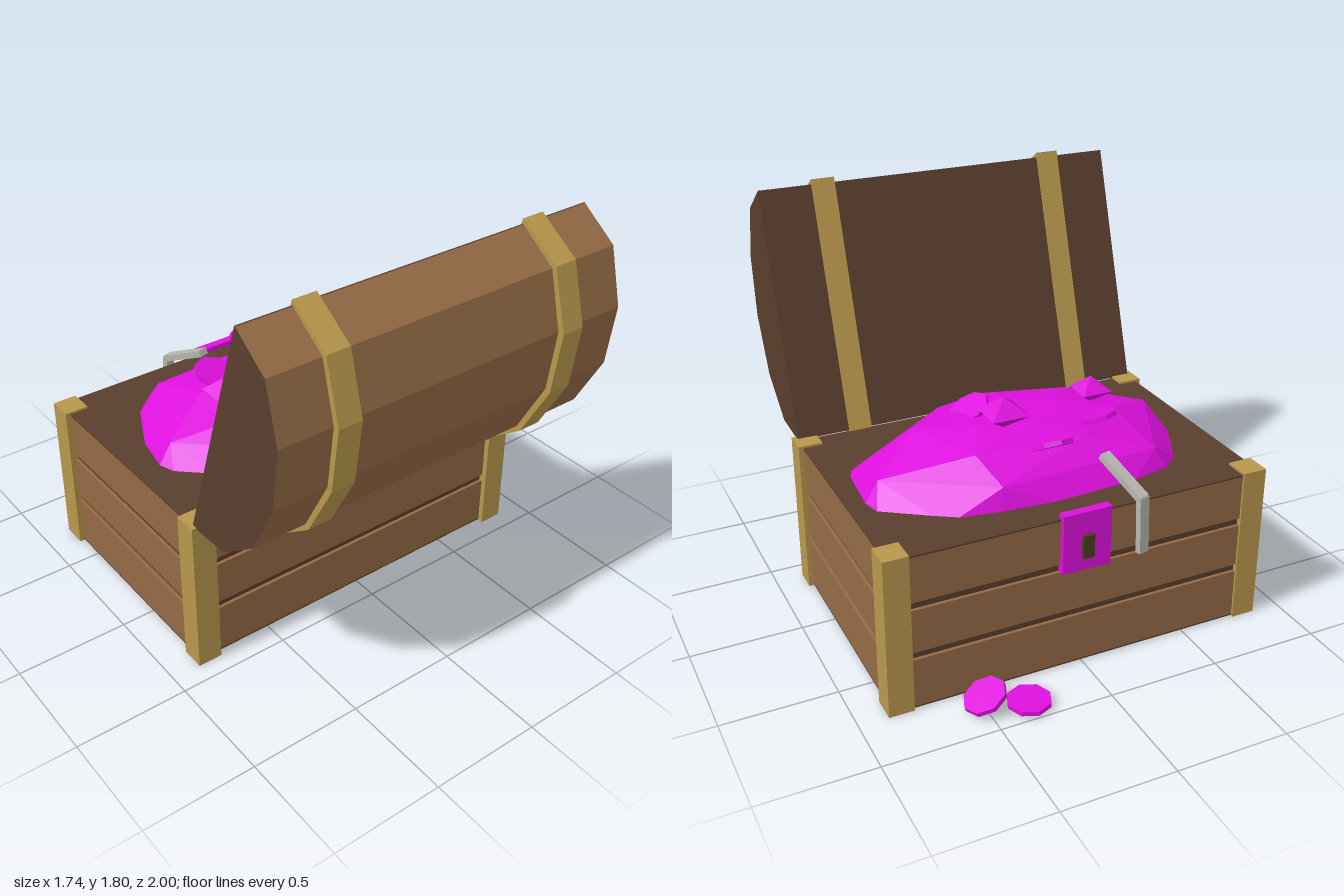
import * as THREE from 'three';
import { ConvexGeometry } from 'three/addons/geometries/ConvexGeometry.js';

const mat = (name, color) => {
  const m = new THREE.MeshStandardMaterial({ color, flatShading: true });
  m.name = name;
  return m;
};

export function createModel() {
  const wood = mat('wood', 0x946a45);
  const darkWood = mat('dark wood', 0x5a3e2d);
  const gold = mat('brass', 0xb8974c);
  const magenta = mat('treasure magenta', 0xdd10dd);
  const steel = mat('steel', 0xb6b6ae);
  const keyDark = mat('keyhole brown', 0x4d3b22);

  const root = new THREE.Group();
  root.name = 'treasureChest';
  const add = (name, geometry, material, parent = root) => {
    const m = new THREE.Mesh(geometry, material);
    m.name = name;
    parent.add(m);
    return m;
  };
  const group = (name) => {
    const g = new THREE.Group();
    g.name = name;
    root.add(g);
    return g;
  };
  // Box given by its minimum and maximum corners
  const box = (name, a, b, material, parent) => {
    const m = add(name, new THREE.BoxGeometry(b[0] - a[0], b[1] - a[1], b[2] - a[2]), material, parent);
    m.position.set((a[0] + b[0]) / 2, (a[1] + b[1]) / 2, (a[2] + b[2]) / 2);
    return m;
  };

  // Body: dark core showing in the grooves, three courses of planks, closing panels
  const body = group('body');
  box('core', [-0.835, 0.01, -0.72], [0.835, 0.705, 0.375], darkWood, body);
  for (const [y0, y1] of [[0.012, 0.235], [0.27, 0.467], [0.503, 0.706]]) {
    box('plank', [-0.85, y0, -0.735], [0.85, y1, 0.39], wood, body);
  }
  box('topPanel', [-0.85, 0.706, -0.735], [0.85, 0.713, 0.39], darkWood, body);
  box('bottomPanel', [-0.85, 0.005, -0.735], [0.85, 0.012, 0.39], darkWood, body);

  // Corner posts
  for (const s of [-1, 1]) {
    for (const [z0, z1] of [[-0.745, -0.63], [0.307, 0.415]]) {
      const [x0, x1] = s > 0 ? [0.762, 0.872] : [-0.872, -0.762];
      box('cornerPost', [x0, 0, z0], [x1, 0.723, z1], gold, body);
    }
  }

  // Lid: profiles in (z, y), extruded across x
  const lid = group('lid');
  const across = (name, profile, x0, x1, material) => {
    const shape = new THREE.Shape(profile.map(([z, y]) => new THREE.Vector2(z, y)));
    const g = new THREE.ExtrudeGeometry(shape, { depth: x1 - x0, bevelEnabled: false });
    g.rotateY(-Math.PI / 2);
    g.translate(x1, 0, 0);
    return add(name, g, material, lid);
  };
  const lidProfile = [[0.392, 0.715], [0.605, 0.725], [0.808, 0.875], [0.94, 1.125],
    [0.972, 1.4], [0.905, 1.65], [0.737, 1.772]];
  const bandProfile = [[0.378, 0.7], [0.61, 0.7], [0.827, 0.86], [0.965, 1.115],
    [1, 1.4], [0.925, 1.665], [0.732, 1.797]];
  across('lidShell', lidProfile, -0.85, 0.85, [darkWood, wood]);
  across('lidInnerFace', [[0.392, 0.715], [0.737, 1.772], [0.732, 1.774], [0.387, 0.717]], -0.85, 0.85, darkWood);
  across('lidBand', bandProfile, -0.61, -0.503, gold);
  across('lidBand', bandProfile, 0.503, 0.61, gold);

  // Treasure mound: shrinking copies of one outline, wrapped in a faceted hull
  const outline = [[-0.75, -0.05], [-0.71, -0.27], [-0.62, -0.45], [-0.52, -0.54], [-0.3, -0.59],
    [0, -0.61], [0.3, -0.585], [0.52, -0.545], [0.76, -0.38], [0.785, -0.28], [0.76, 0.03],
    [0.53, 0.16], [0.24, 0.32], [0.07, 0.375], [-0.14, 0.36], [-0.4, 0.27], [-0.55, 0.2], [-0.72, 0.04]];
  const moundPoints = outline.map(([x, z]) => new THREE.Vector3(x, 0.69, z));
  [[0.9, 0.8, 0], [0.6, 0.88, 1], [0.28, 0.915, 2]].forEach(([s, y, start]) => {
    for (let i = start; i < outline.length; i += 3) {
      const [x, z] = outline[i];
      moundPoints.push(new THREE.Vector3(0.02 + (x - 0.02) * s, y, -0.12 + (z + 0.12) * s));
    }
  });
  const treasure = group('treasure');
  add('treasureMound', new ConvexGeometry(moundPoints), magenta, treasure);

  // Gems
  for (const [x, y, z, r, h] of [[0.13, 0.98, -0.24, 0.12, 0.07], [-0.37, 0.93, -0.09, 0.1, 0.062]]) {
    const gem = add('gem', new THREE.OctahedronGeometry(1), magenta, treasure);
    gem.position.set(x, y, z);
    gem.scale.set(r, h, r);
    gem.rotation.y = Math.PI / 4;
  }

  // Coins in the mound and on the ground: position, then tilt about x and z
  const coin = new THREE.CylinderGeometry(0.095, 0.095, 0.02, 8);
  for (const [x, y, z, rx, rz] of [
    [0, 0.888, -0.44, 0.55, 0], [-0.29, 0.895, -0.29, 0.35, -0.15], [0.19, 0.915, -0.02, 0, -0.5],
    [0.33, 0.02, -0.905, 0, 0], [0.5, 0.058, -0.85, 0, -0.42]]) {
    const c = add('coin', coin, magenta, treasure);
    c.position.set(x, y, z);
    c.rotation.set(rx, 0, rz);
  }

  // Lock plate and keyhole
  const lock = group('lock');
  box('lockPlate', [-0.11, 0.468, -0.76], [0.11, 0.737, -0.72], magenta, lock);
  box('keyhole', [-0.025, 0.53, -0.778], [0.025, 0.635, -0.75], keyDark, lock);

  // Bent steel bar hanging over the rim
  const bar = group('bentBar');
  const rod = (a, b) => {
    const p = new THREE.Vector3(...a), q = new THREE.Vector3(...b);
    const m = add('barSegment', new THREE.BoxGeometry(0.05, 0.03, p.distanceTo(q)), steel, bar);
    m.position.copy(p).add(q).multiplyScalar(0.5);
    m.lookAt(q);
    return m;
  };
  rod([-0.19, 0.848, -0.54], [-0.25, 0.738, -0.768]);
  box('barSegment', [-0.025, -0.125, -0.013], [0.025, 0.125, 0.013], steel, bar);
  const hanging = bar.children[1];
  hanging.position.set(-0.25, 0.62, -0.77);
  hanging.rotation.set(0.06, 0.25, 0);

  return root;
}
